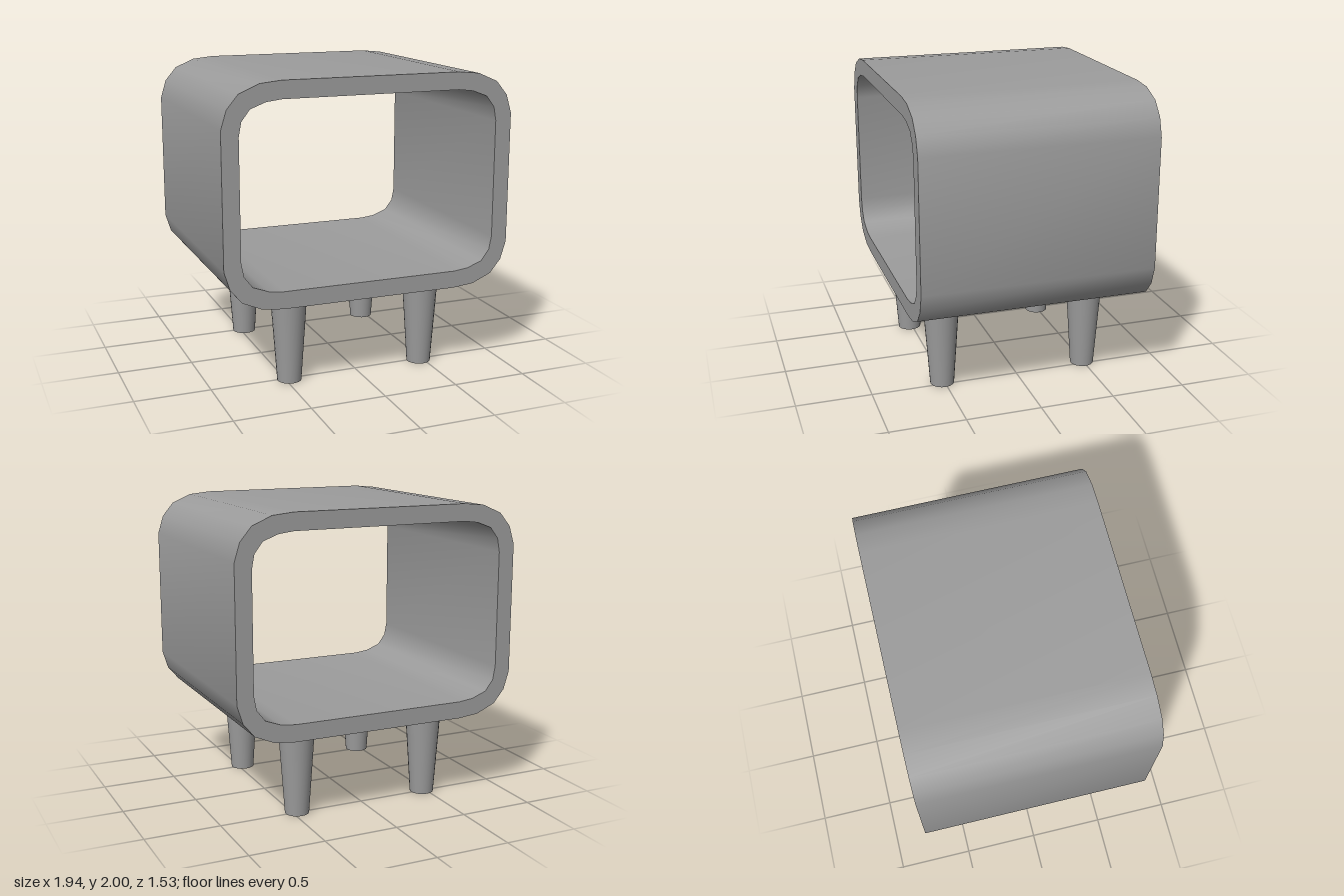
import * as THREE from 'three';
import { toCreasedNormals } from 'three/addons/utils/BufferGeometryUtils.js';

const DEPTH = 1.535;
const BASE_Y = 0.58;
const MID_Y = 1.29;

// Upper-right corner points (x, height above the middle), mirrored to all four corners
const OUTER = [[0.59, 0.71], [0.73, 0.696], [0.86, 0.64], [0.935, 0.55], [0.972, 0.43]];
const INNER = [[0.59, 0.597], [0.69, 0.585], [0.79, 0.547], [0.845, 0.475], [0.862, 0.385]];

// Closed counter-clockwise outline, so that outer and inner walls both face outward
function roundedLoop(corner) {
  const rev = [...corner].reverse();
  const place = (pts, sx, sy) => pts.map(([x, y]) => new THREE.Vector2(x * sx, y * sy));
  return [
    ...place(rev, 1, 1),
    ...place(corner, -1, 1),
    ...place(rev, -1, -1),
    ...place(corner, 1, -1),
  ];
}

export function createModel() {
  const group = new THREE.Group();
  const material = new THREE.MeshStandardMaterial({ color: 0x9c9c9c });

  // Open box shell, running front to back
  const shape = new THREE.Shape(roundedLoop(OUTER));
  shape.holes.push(new THREE.Path(roundedLoop(INNER)));
  const shellGeometry = toCreasedNormals(
    new THREE.ExtrudeGeometry(shape, { depth: DEPTH, bevelEnabled: false }), 0.7);
  shellGeometry.translate(0, MID_Y, -DEPTH / 2);
  const shell = new THREE.Mesh(shellGeometry, material);
  shell.name = 'shell';
  group.add(shell);

  // Four tapered legs
  const legGeometry = new THREE.CylinderGeometry(0.12, 0.08, BASE_Y, 24);
  const legs = [
    ['frontLeftLeg', 0.467, 0.515],
    ['frontRightLeg', -0.473, 0.515],
    ['backLeftLeg', 0.467, -0.492],
    ['backRightLeg', -0.473, -0.492],
  ];
  for (const [name, x, z] of legs) {
    const leg = new THREE.Mesh(legGeometry, material);
    leg.name = name;
    leg.position.set(x, BASE_Y / 2, z);
    group.add(leg);
  }

  return group;
}
